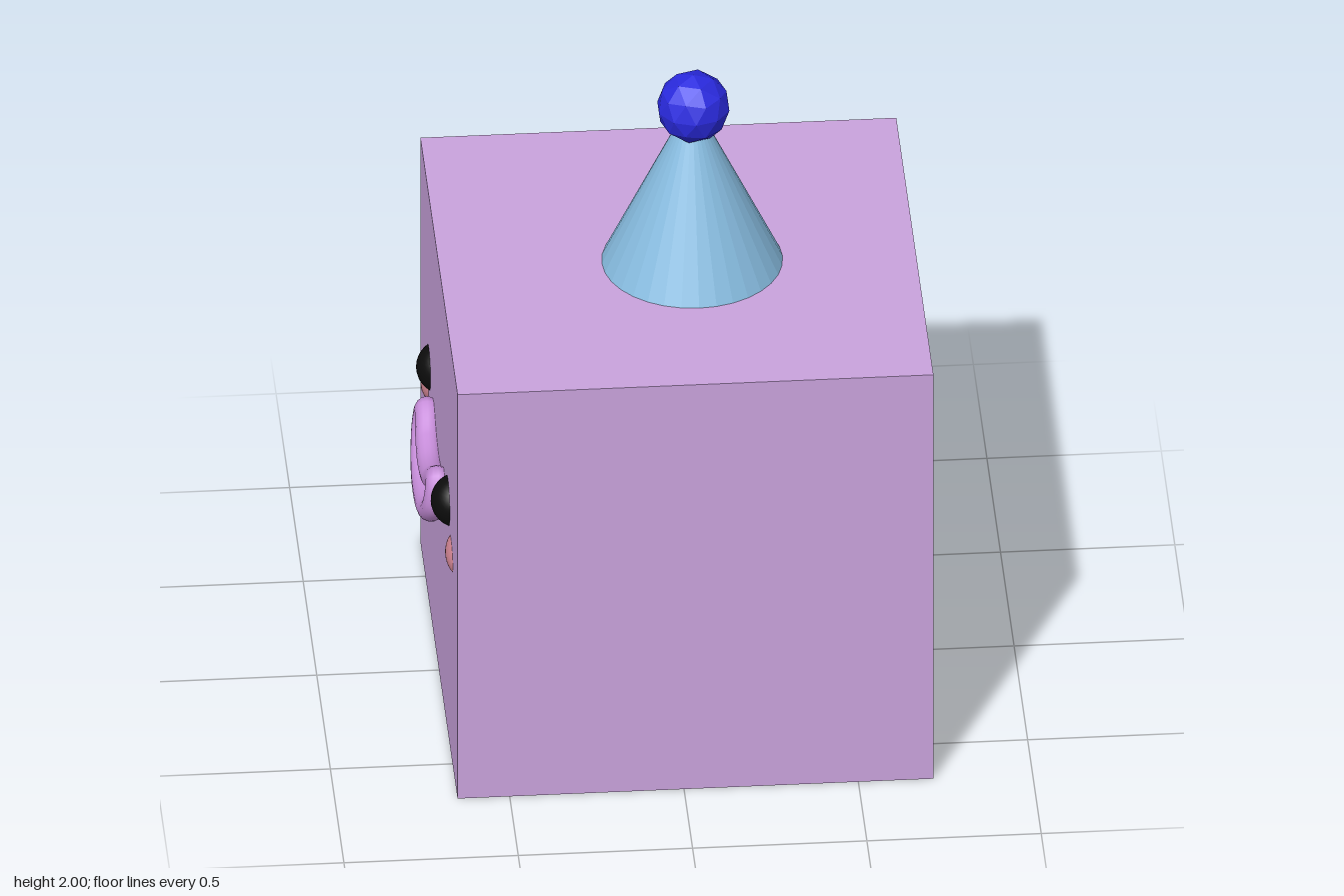
import * as THREE from 'three';

const mat = (color, flatShading = false) => {
  const m = new THREE.MeshStandardMaterial({ color });
  m.flatShading = flatShading;
  return m;
};

export function createModel() {
  const model = new THREE.Group();
  const add = (name, geometry, material, x, y, z) => {
    const mesh = new THREE.Mesh(geometry, material);
    mesh.name = name;
    mesh.position.set(x, y, z);
    model.add(mesh);
    return mesh;
  };

  // Cube body
  add('body', new THREE.BoxGeometry(1.365, 1.37, 1.37), mat(0xc9a3dd), 0.033, 0.685, 0);

  // Party hat with a faceted bobble
  add('hat', new THREE.ConeGeometry(0.259, 0.55, 32), mat(0x87bce0, true), 0.075, 1.645, 0.021);
  const bobble = new THREE.IcosahedronGeometry(0.106, 1);
  bobble.rotateX(-Math.atan((1 + Math.sqrt(5)) / 2)).rotateY(Math.PI / 2);
  add('hatBobble', bobble, mat(0x2a2adf, true), 0.078, 1.894, 0.027);

  // Eyes and cheeks, half sunk into the -x side
  const eye = new THREE.SphereGeometry(0.079, 32, 20);
  const cheek = new THREE.SphereGeometry(1, 32, 20).scale(0.05, 0.055, 0.08);
  const black = mat(0x0c0c0c), pink = mat(0xc97f8c);
  add('rightEye', eye, black, -0.607, 0.79, -0.373);
  add('leftEye', eye, black, -0.62, 0.787, 0.332);
  add('rightCheek', cheek, pink, -0.617, 0.685, -0.447).rotation.x = -0.3;
  add('leftCheek', cheek, pink, -0.617, 0.685, 0.455).rotation.x = 0.3;

  // Smiling lips: a closed tube, leaning outward toward the bottom
  const lips = [
    [-0.205, 0.757], [-0.1, 0.715], [0, 0.7], [0.1, 0.72], [0.195, 0.768],
    [0.2, 0.7], [0.12, 0.625], [0, 0.598], [-0.12, 0.612], [-0.215, 0.69],
  ].map(([z, y]) => new THREE.Vector3(-0.687 + (y - 0.6) * 0.12, y, z));
  const path = new THREE.CatmullRomCurve3(lips, true);
  add('mouth', new THREE.TubeGeometry(path, 96, 0.036, 16, true), mat(0xc98fdc), 0, 0, 0);

  return model;
}
